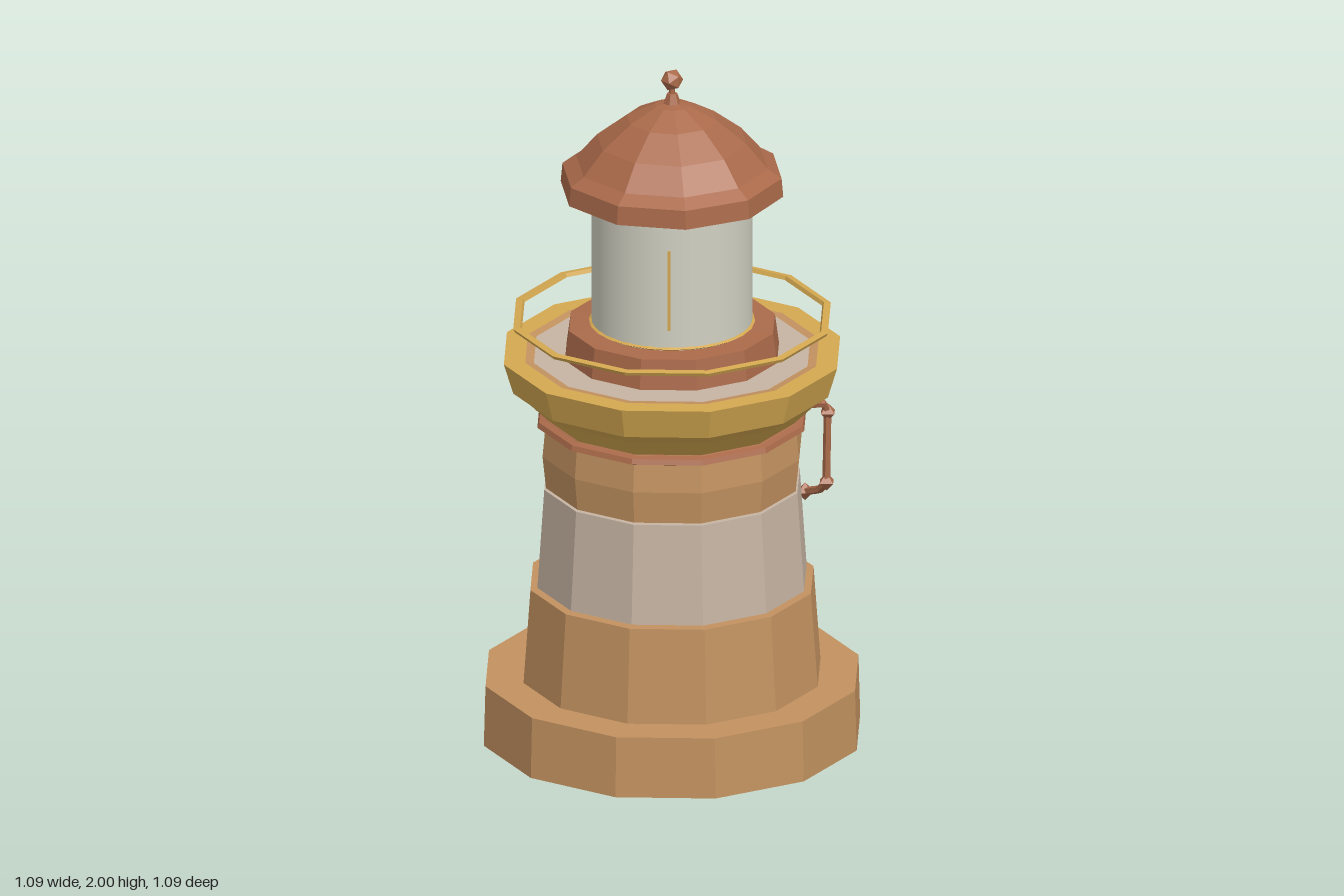
import * as THREE from 'three';

const flat = (name, color) => new THREE.MeshStandardMaterial({
  name, color, flatShading: true, side: THREE.DoubleSide,
});

export function createModel() {
  const group = new THREE.Group();
  const tan = flat('tan stone', 0xc39260);
  const beige = flat('pale plaster', 0xc6b4a3);
  const yellow = flat('ochre yellow', 0xd4a850);
  const terracotta = flat('terracotta', 0xaa6a4a);
  const glass = new THREE.MeshStandardMaterial({ name: 'lantern glass', color: 0xd0d0c2, side: THREE.DoubleSide });

  const add = (name, geometry, material, parent = group) => {
    const mesh = new THREE.Mesh(geometry, material);
    mesh.name = name;
    parent.add(mesh);
    return mesh;
  };
  // Faceted ring of [radius, height] points, listed from bottom to top
  const turned = (name, points, material, sides = 12) =>
    add(name, new THREE.LatheGeometry(points.map(([r, y]) => new THREE.Vector2(r, y)), sides), material);

  // Hollow plinth and stacked tower courses
  turned('plinth', [[0.545, 0], [0.54, 0.18], [0.33, 0.18]], tan);
  turned('lowerCourse', [[0.43, 0.18], [0.41, 0.46], [0.37, 0.46]], tan);
  turned('paleCourse', [[0.37, 0.465], [0.39, 0.465], [0.37, 0.76], [0.34, 0.76]], beige);
  turned('upperCourse', [[0.34, 0.765], [0.365, 0.765], [0.375, 0.86], [0.365, 0.97]], tan);

  // Thin band under the gallery
  turned('upperBand', [[0.365, 0.94], [0.39, 0.95], [0.385, 0.965], [0.36, 0.97]], terracotta);

  // Gallery with its flaring rim and deck
  turned('galleryRim', [[0.36, 0.97], [0.42, 1.03], [0.46, 1.06], [0.487, 1.15], [0.425, 1.15]], yellow);
  turned('deckEdge', [[0.425, 1.15], [0.40, 1.147]], tan);
  turned('deck', [[0.40, 1.147], [0.2, 1.147]], beige);

  // Thin hand rail hovering round the lantern
  turned('handRail', [[0.435, 1.247], [0.455, 1.245], [0.46, 1.255], [0.44, 1.258], [0.435, 1.247]], yellow);

  // Lantern room
  turned('lanternFoot', [[0.31, 1.147], [0.298, 1.235], [0.2, 1.24]], terracotta);
  add('lantern', new THREE.CylinderGeometry(0.227, 0.227, 0.41, 40, 1, true), glass).position.y = 1.44;
  for (const [name, y] of [['lowerGlassTrim', 1.243], ['upperGlassTrim', 1.633]]) {
    turned(name, [[0.225, y - 0.006], [0.235, y], [0.225, y + 0.006]], yellow, 24);
  }
  // Two narrow glazing bars on opposite sides
  for (const s of [1, -1]) {
    const bar = add('glazingBar', new THREE.BoxGeometry(0.008, 0.24, 0.006), yellow);
    bar.position.set(s * 0.161, 1.42, -s * 0.161);
    bar.rotation.y = -Math.PI / 4;
  }

  // Domed roof with an upright brim
  turned('roof', [[0.2, 1.655], [0.32, 1.64], [0.315, 1.695], [0.275, 1.72], [0.215, 1.79],
    [0.13, 1.855], [0.05, 1.895], [0, 1.905]], terracotta, 10);
  // Finial
  add('finialFoot', new THREE.CylinderGeometry(0.015, 0.028, 0.04, 6), terracotta).position.y = 1.91;
  add('finialStem', new THREE.CylinderGeometry(0.009, 0.009, 0.04, 5), terracotta).position.y = 1.94;
  add('finialBall', new THREE.IcosahedronGeometry(0.032, 0), terracotta).position.y = 1.97;

  // Pair of hanging hooks on the left side of the tower
  for (const s of [1, -1]) {
    const hook = new THREE.Group();
    hook.name = 'hangingHook';
    group.add(hook);
    const points = [[0.33, 0.95, 0.18], [0.40, 0.94, 0.2], [0.415, 0.91, 0.2], [0.41, 0.7, 0.2],
      [0.415, 0.665, 0.165], [0.42, 0.64, 0.1]].map(([x, y, z]) => new THREE.Vector3(x, y, s * z));
    const path = new THREE.CurvePath();
    for (let i = 1; i < points.length; i++) path.add(new THREE.LineCurve3(points[i - 1], points[i]));
    add('hookRod', new THREE.TubeGeometry(path, 24, 0.012, 5), terracotta, hook);
    for (const i of [2, 3, 5]) {
      add('hookKnob', new THREE.OctahedronGeometry(0.027), terracotta, hook).position.copy(points[i]);
    }
  }
  return group;
}
